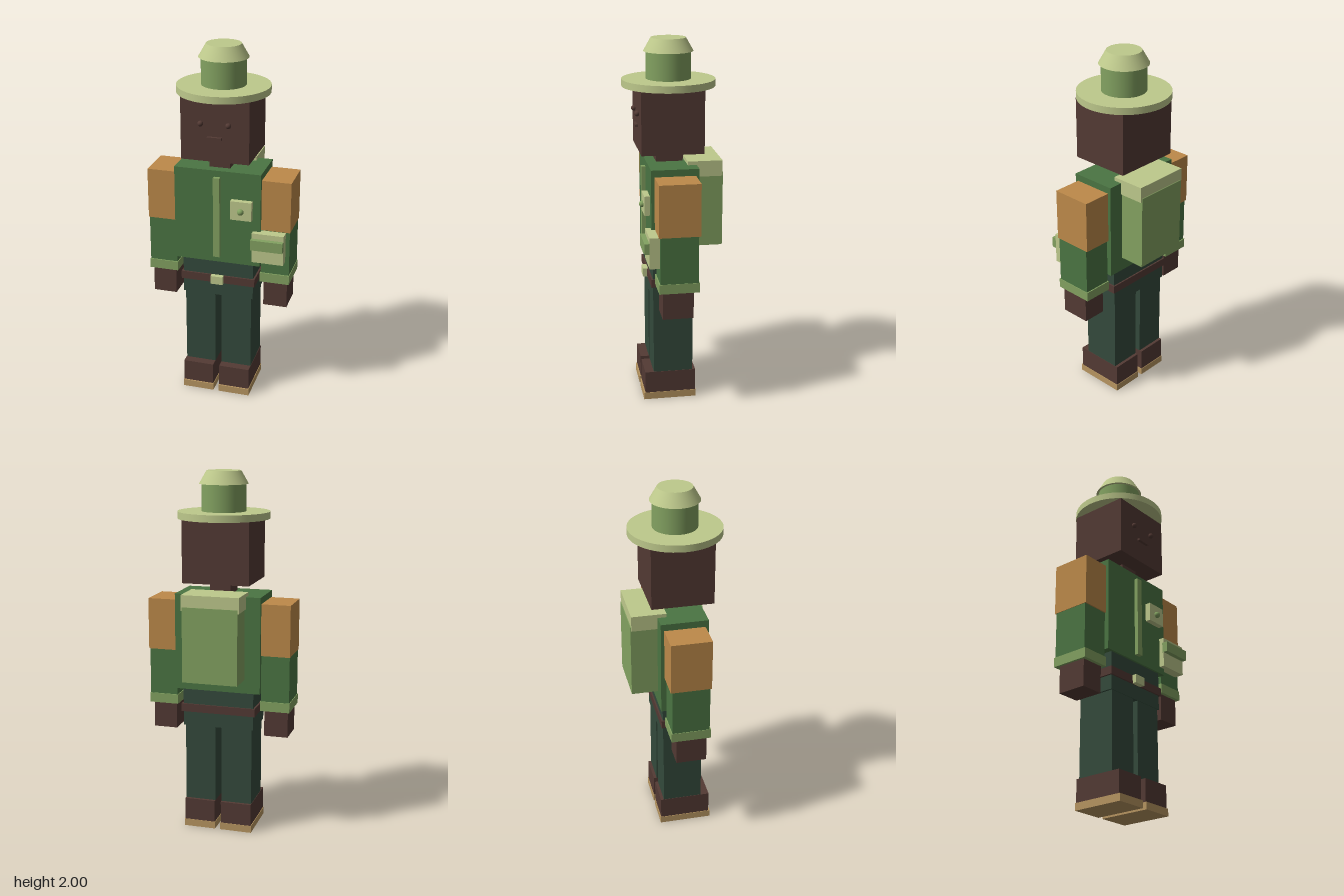
import * as THREE from 'three';

const mat = (name, color) => {
  const m = new THREE.MeshStandardMaterial({ color });
  m.name = name;
  return m;
};

export function createModel() {
  const brown = mat('dark brown', 0x533a34);
  const orange = mat('orange', 0xbd8a4a);
  const green = mat('jacket green', 0x4b7543);
  const leaf = mat('leaf green', 0x83a261);
  const pale = mat('pale green', 0xbec98c);
  const trouser = mat('trouser green', 0x344a3c);
  const tan = mat('sole tan', 0xb89661);

  const model = new THREE.Group();
  model.name = 'ranger';

  const add = (name, geometry, material, x, y, z) => {
    const mesh = new THREE.Mesh(geometry, material);
    mesh.name = name;
    mesh.position.set(x, y, z);
    model.add(mesh);
    return mesh;
  };
  // Box given by its extents on each axis
  const box = (name, material, x0, x1, y0, y1, z0, z1) =>
    add(name, new THREE.BoxGeometry(x1 - x0, y1 - y0, z1 - z0), material,
      (x0 + x1) / 2, (y0 + y1) / 2, (z0 + z1) / 2);
  // Upright disc or cone given by its bottom and top
  const round = (name, material, rTop, rBottom, y0, y1) =>
    add(name, new THREE.CylinderGeometry(rTop, rBottom, y1 - y0, 48), material,
      0, (y0 + y1) / 2, 0.01);
  // Mirrored pair of boxes, extents given for the left side
  const pair = (name, material, x0, x1, ...rest) => {
    box('left' + name, material, x0, x1, ...rest);
    box('right' + name, material, -x1, -x0, ...rest);
  };

  // Hat
  round('hatBrim', pale, 0.25, 0.25, 1.747, 1.785);
  round('hatCrown', leaf, 0.12, 0.12, 1.785, 1.93);
  round('hatTop', pale, 0.093, 0.133, 1.93, 2.0);

  // Head and face
  box('head', brown, -0.185, 0.185, 1.41, 1.747, -0.155, 0.18);
  box('neck', brown, -0.057, 0.057, 1.34, 1.41, -0.06, 0.085);
  for (const s of [1, -1]) {
    add(s > 0 ? 'leftEye' : 'rightEye', new THREE.SphereGeometry(0.015, 16, 12), brown, s * 0.075, 1.615, 0.187);
  }
  box('mouth', brown, -0.04, 0.04, 1.535, 1.547, 0.175, 0.196);

  // Jacket with placket, badge and side pouch
  box('jacket', green, -0.24, 0.24, 0.813, 1.345, -0.118, 0.138);
  box('placket', leaf, -0.018, 0.018, 0.85, 1.31, 0.13, 0.16);
  box('badge', pale, 0.08, 0.197, 1.087, 1.193, 0.13, 0.169);
  add('badgeButton', new THREE.SphereGeometry(0.018, 16, 12), leaf, 0.138, 1.137, 0.172);
  box('pouch', pale, 0.2, 0.375, 0.85, 1.02, 0.11, 0.167);
  box('pouchFlap', leaf, 0.198, 0.375, 0.932, 0.99, 0.16, 0.193);

  // Arms
  pair('Shoulder', orange, 0.24, 0.4, 1.025, 1.308, -0.1, 0.12);
  pair('Sleeve', green, 0.24, 0.397, 0.765, 1.025, -0.09, 0.113);
  pair('Cuff', leaf, 0.236, 0.4, 0.715, 0.768, -0.096, 0.12);
  pair('Hand', brown, 0.254, 0.386, 0.565, 0.715, -0.066, 0.1);

  // Hips, belt and legs
  box('hips', trouser, -0.2, 0.2, 0.6, 0.813, -0.102, 0.126);
  box('belt', brown, -0.21, 0.21, 0.68, 0.725, -0.11, 0.135);
  box('buckle', pale, -0.035, 0.035, 0.68, 0.727, 0.13, 0.158);
  pair('Leg', trouser, 0.018, 0.19, 0.165, 0.6, -0.096, 0.122);
  pair('Boot', brown, 0.018, 0.192, 0.04, 0.165, -0.113, 0.17);
  pair('Sole', tan, 0.015, 0.195, 0, 0.04, -0.116, 0.178);

  // Backpack
  box('backpack', leaf, -0.153, 0.153, 0.89, 1.3, -0.262, -0.11);
  box('backpackLid', pale, -0.16, 0.16, 1.28, 1.365, -0.258, -0.07);

  return model;
}
